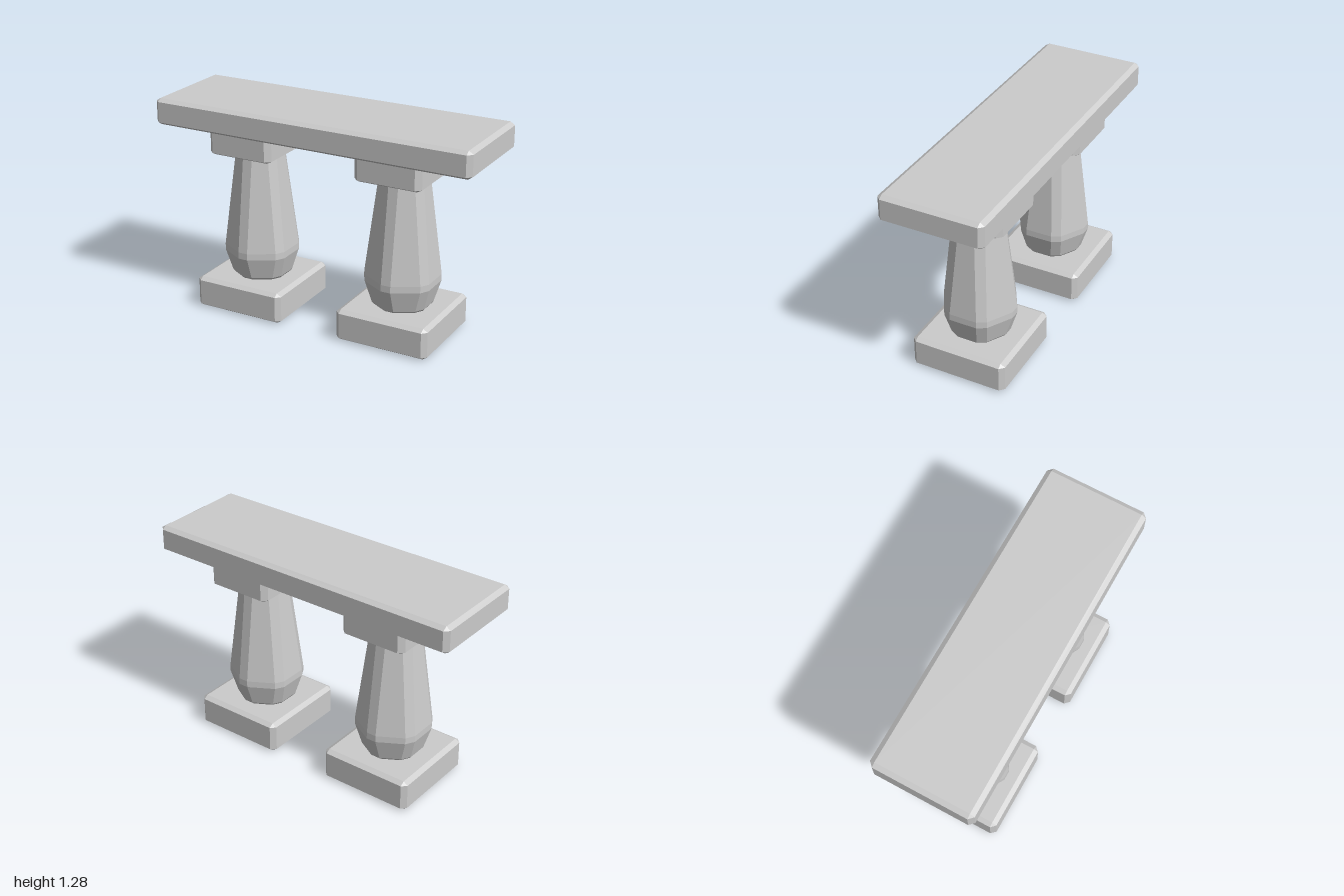
import * as THREE from 'three';

const material = new THREE.MeshStandardMaterial({ color: 0xcccccc, flatShading: true });

// Skins a stack of horizontal outlines (same point count, counter-clockwise from above) and closes both ends.
function loft(name, rings) {
  const n = rings[0].points.length;
  const verts = [];
  const at = (i, j) => {
    const [x, z] = rings[i].points[j % n];
    return new THREE.Vector3(x, rings[i].y, z);
  };
  const tri = (a, b, c) => {
    if (new THREE.Triangle(a, b, c).getArea() < 1e-8) return;
    for (const p of [a, b, c]) verts.push(p.x, p.y, p.z);
  };
  for (let i = 0; i < rings.length - 1; i++) {
    for (let j = 0; j < n; j++) {
      tri(at(i, j), at(i, j + 1), at(i + 1, j + 1));
      tri(at(i, j), at(i + 1, j + 1), at(i + 1, j));
    }
  }
  const top = rings.length - 1;
  for (let j = 1; j < n - 1; j++) {
    tri(at(top, 0), at(top, j), at(top, j + 1));
    tri(at(0, 0), at(0, j + 1), at(0, j));
  }
  const geometry = new THREE.BufferGeometry();
  geometry.setAttribute('position', new THREE.Float32BufferAttribute(verts, 3));
  geometry.computeVertexNormals();
  const mesh = new THREE.Mesh(geometry, material);
  mesh.name = name;
  return mesh;
}

// Rectangle of half sizes hx, hz with corners cut by b (b = 0 gives sharp corners).
function rectRing(y, hx, hz, b) {
  return {
    y,
    points: [
      [hx - b, hz], [hx, hz - b], [hx, b - hz], [hx - b, -hz],
      [b - hx, -hz], [-hx, b - hz], [-hx, hz - b], [b - hx, hz],
    ],
  };
}

// Hexagon of apothem a, a corner towards the front, each corner cut to a narrow strip of half width c.
function hexRing(y, a, c = 0.03) {
  const reach = a / Math.cos(Math.PI / 6) - c / Math.sqrt(3);
  const points = [];
  for (let k = 0; k < 6; k++) {
    const t = (k * Math.PI) / 3;
    for (const s of [-c, c]) {
      points.push([
        reach * Math.sin(t) + s * Math.cos(t),
        reach * Math.cos(t) - s * Math.sin(t),
      ]);
    }
  }
  return { y, points };
}

// Slab with every edge bevelled.
function slab(name, y0, y1, hx, hz, b = 0.028, h = 0.018) {
  return loft(name, [
    rectRing(y0, hx - b, hz - b, 0),
    rectRing(y0 + h, hx, hz, b),
    rectRing(y1 - h, hx, hz, b),
    rectRing(y1, hx - b, hz - b, 0),
  ]);
}

function createLeg(name) {
  const leg = new THREE.Group();
  leg.name = name;

  leg.add(slab('plinth', 0, 0.19, 0.288, 0.293));

  // Tapering baluster, widest near the bottom
  leg.add(loft('column', [
    hexRing(0.185, 0.155),
    hexRing(0.203, 0.169),
    hexRing(0.335, 0.206),
    hexRing(0.375, 0.206),
    hexRing(0.975, 0.138),
  ]));

  // Capital, flaring where it meets the seat
  leg.add(loft('capital', [
    rectRing(0.965, 0.175, 0.212, 0),
    rectRing(0.981, 0.206, 0.243, 0.031),
    rectRing(1.102, 0.206, 0.243, 0.031),
    rectRing(1.121, 0.24, 0.279, 0.031),
  ]));
  return leg;
}

export function createModel() {
  const model = new THREE.Group();
  model.name = 'bench';
  model.add(slab('seat', 1.119, 1.278, 1, 0.313));
  for (const [name, x] of [['leftLeg', 0.474], ['rightLeg', -0.474]]) {
    const leg = createLeg(name);
    leg.position.x = x;
    model.add(leg);
  }
  return model;
}
